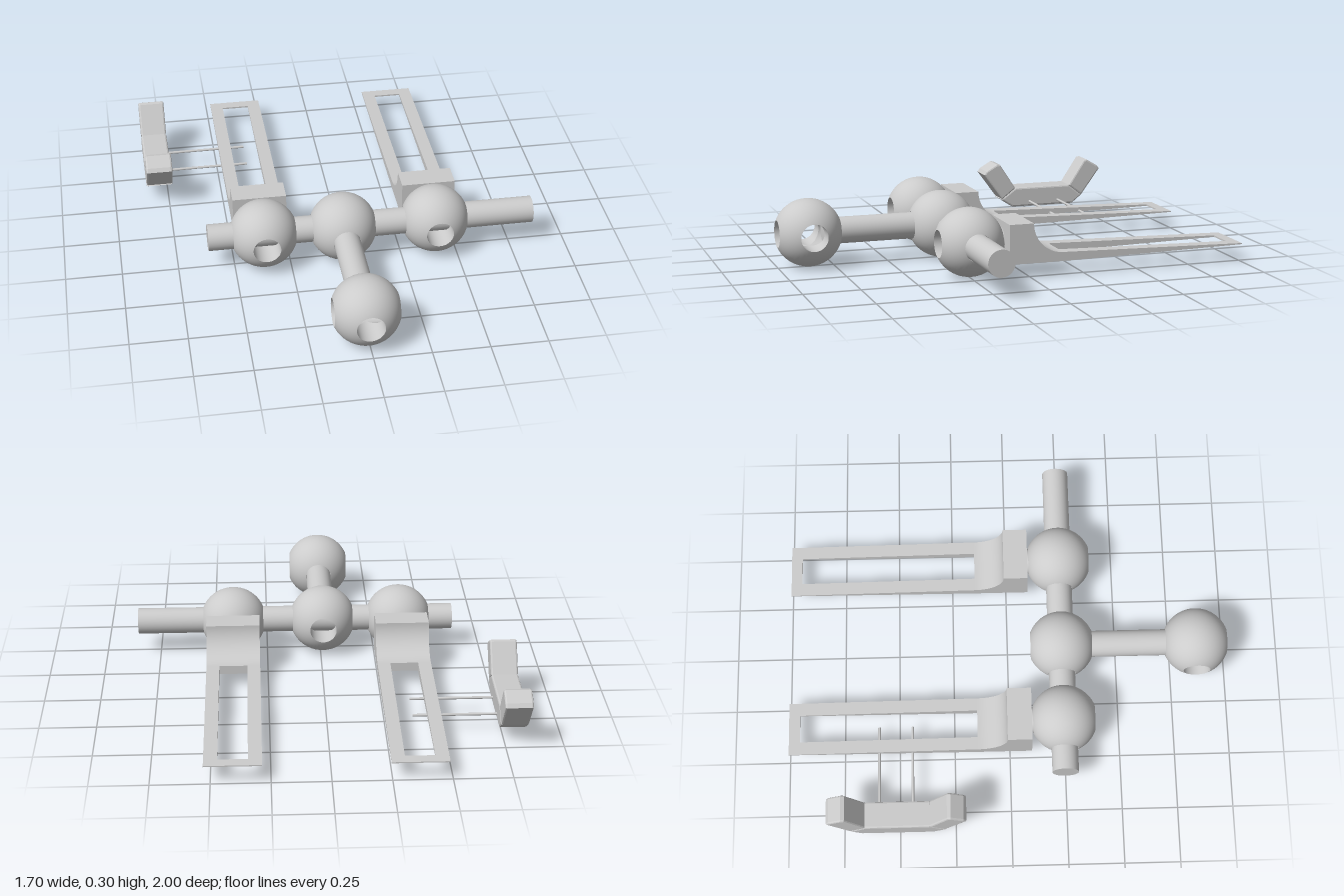
import * as THREE from 'three';
import { mergeGeometries, toCreasedNormals } from 'three/addons/utils/BufferGeometryUtils.js';

const mat = new THREE.MeshStandardMaterial({ color: 0xcccccc });
const AXIS_Y = 0.157, BALL_R = 0.152, HOLE_R = 0.061, ROD_R = 0.0595;

function add(parent, name, geometry, x = 0, y = 0, z = 0) {
  const mesh = new THREE.Mesh(geometry, mat);
  mesh.name = name;
  mesh.position.set(x, y, z);
  parent.add(mesh);
  return mesh;
}

// Quarter of a drilled ball facing +z: hole wall mitred at the centre, then the round skin
function ballQuarter() {
  const N = 48, ROWS = 10, rim = Math.asin(HOLE_R / BALL_R), depth = BALL_R * Math.cos(rim);
  const pos = [], nor = [], idx = [];
  for (let j = 0; j <= ROWS + 2; j++) {
    for (let i = 0; i <= N; i++) {
      const phi = (i / N) * Math.PI * 2, c = Math.cos(phi), s = Math.sin(phi);
      if (j < 2) {
        pos.push(HOLE_R * c, HOLE_R * s, j ? depth : HOLE_R * Math.abs(c));
        nor.push(-c, -s, 0);
      } else {
        const edge = Math.atan2(1, Math.abs(c));
        const t = rim + (edge - rim) * (j - 2) / ROWS;
        const n = [Math.sin(t) * c, Math.sin(t) * s, Math.cos(t)];
        pos.push(...n.map(v => v * BALL_R));
        nor.push(...n);
      }
      if (j !== 1 && j < ROWS + 2 && i < N) {
        const a = j * (N + 1) + i, b = a + N + 1;
        idx.push(a, b, b + 1, a, b + 1, a + 1);
      }
    }
  }
  const g = new THREE.BufferGeometry();
  g.setAttribute('position', new THREE.Float32BufferAttribute(pos, 3));
  g.setAttribute('normal', new THREE.Float32BufferAttribute(nor, 3));
  g.setIndex(idx);
  return g;
}

function rod(radius, length, axis, sides = 32) {
  const g = new THREE.CylinderGeometry(radius, radius, length, sides);
  return axis === 'x' ? g.rotateZ(Math.PI / 2) : g.rotateX(Math.PI / 2);
}

// Side outline in (distance backward, height), extruded across x and centred there
function sideExtrude(shape, width, bevel = 0) {
  const g = new THREE.ExtrudeGeometry(shape, {
    depth: width - 2 * bevel, curveSegments: 10, bevelEnabled: bevel > 0,
    bevelSize: bevel, bevelThickness: bevel, bevelOffset: -bevel, bevelSegments: 2,
  });
  return g.translate(0, 0, bevel - width / 2).rotateY(Math.PI / 2);
}

const outline = pts => new THREE.Shape(pts.map(p => new THREE.Vector2(...p)));

// Tapering fork: curved root, two rails around a slot, and a tip bar
function makeFork(x) {
  const fork = new THREE.Group();
  fork.name = 'fork';
  fork.position.x = x;
  const W = 0.242, RAIL = 0.058, S0 = 0.145, S1 = 0.95, S2 = 1;
  const top = s => 0.11 - 0.02 * (s - S0) / (S2 - S0);
  const bottom = s => 0.07 + 0.015 * Math.max(0, s - S0) / (S2 - S0);
  const bar = (a, b) => outline([[a, bottom(a)], [b, bottom(b)], [b, top(b)], [a, top(a)]]);

  const root = new THREE.Shape();
  root.moveTo(-0.1, 0.07);
  root.lineTo(S0, 0.07);
  root.lineTo(S0, 0.11);
  root.absarc(S0, 0.245, 0.135, -Math.PI / 2, -Math.PI, true);
  root.lineTo(-0.1, 0.245);
  add(fork, 'forkRoot', toCreasedNormals(sideExtrude(root, W), 0.5));
  for (const side of [-1, 1]) add(fork, 'forkRail', sideExtrude(bar(S0, S1), RAIL), side * (W - RAIL) / 2);
  add(fork, 'forkTip', sideExtrude(bar(S1, S2), W));
  add(fork, 'forkPeg', rod(0.056, 0.1, 'z'), 0, AXIS_Y, 0.135);
  return fork;
}

// Seat-like chain of three blocks with two thin pins
function makeSideBracket() {
  const bracket = new THREE.Group();
  bracket.name = 'sideBracket';
  const X = -0.79, W = 0.12, MID = 0.508;
  add(bracket, 'middleBlock', sideExtrude(outline([
    [0.35, 0.06], [0.67, 0.06], [0.72, 0.1], [0.65, 0.155], [0.365, 0.155], [0.29, 0.1],
  ]), W, 0.008), X);
  for (const side of [-1, 1]) {
    const pts = [[0.142, 0.153], [0.212, 0.1], [0.308, 0.23], [0.296, 0.247], [0.24, 0.28], [0.224, 0.277]]
      .map(([s, y]) => [MID + side * s, y]);
    add(bracket, 'tiltedBlock', sideExtrude(outline(pts), W, 0.008), X);
  }
  for (const z of [-0.59, -0.44]) add(bracket, 'pin', rod(0.006, 0.39, 'x', 10), -0.56, 0.083, z);
  return bracket;
}

export function createModel() {
  const model = new THREE.Group();
  model.name = 'forkToy';

  // Drilled balls
  const quarter = ballQuarter();
  const ball = mergeGeometries([0, 1, 2, 3].map(k => quarter.clone().rotateY(k * Math.PI / 2)));
  const MID_X = -0.01, FORK_X = [-0.365, 0.407], AXLE_Z = 0.245, FRONT_Z = 0.86;
  for (const x of [...FORK_X, MID_X]) add(model, 'axleBall', ball, x, AXIS_Y, AXLE_Z);
  add(model, 'frontBall', ball, MID_X, AXIS_Y, FRONT_Z);

  // Rods joining the balls
  add(model, 'axleRod', rod(ROD_R, 1.465, 'x'), 0.1175, AXIS_Y, AXLE_Z);
  add(model, 'frontRod', rod(ROD_R, 0.48, 'z'), MID_X, AXIS_Y, 0.55);

  for (const x of FORK_X) model.add(makeFork(x));
  model.add(makeSideBracket());
  return model;
}
